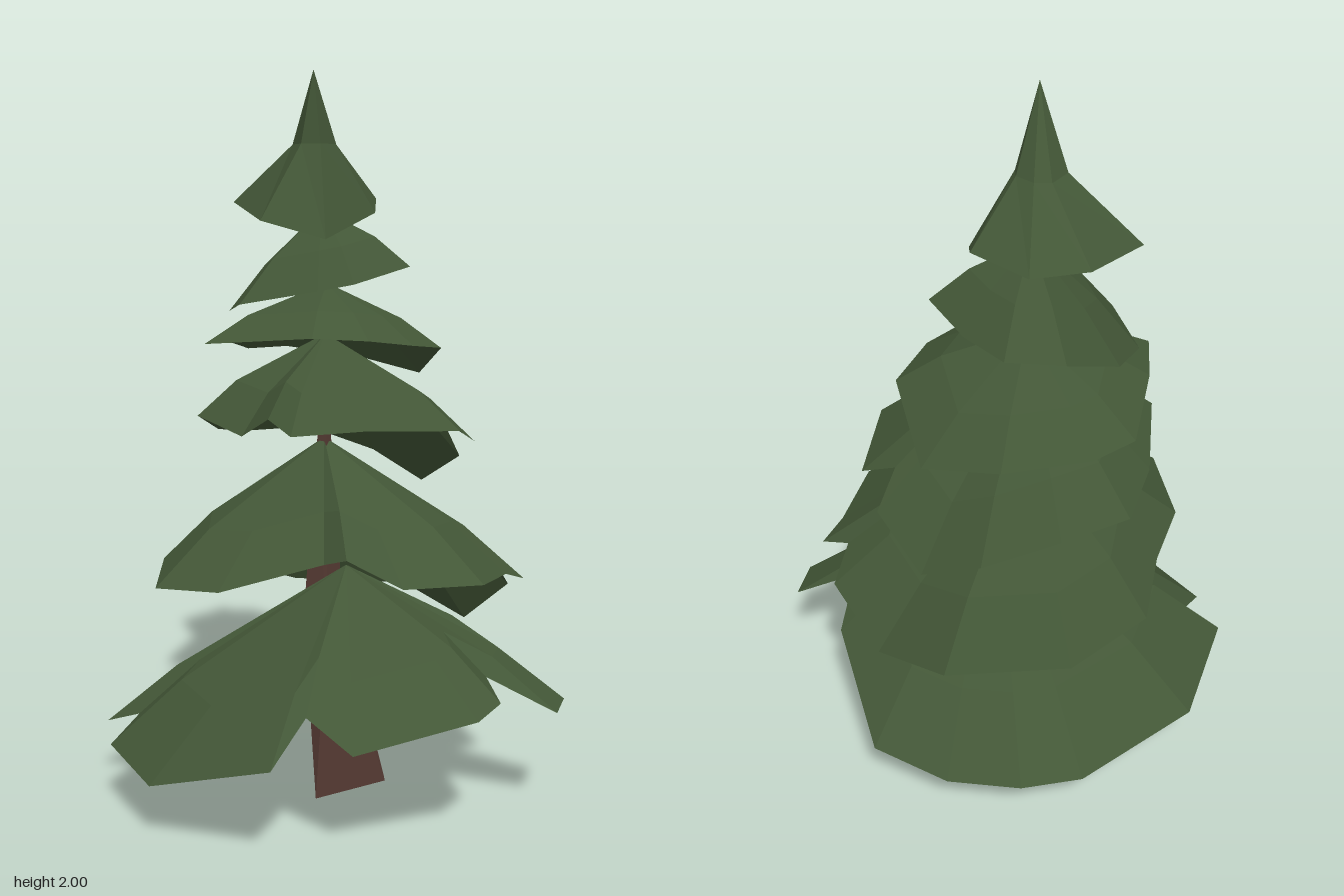
import * as THREE from 'three';

const green = new THREE.MeshStandardMaterial({ color: 0x435737, flatShading: true, side: THREE.DoubleSide });
green.name = 'needleGreen';
const brown = new THREE.MeshStandardMaterial({ color: 0x553a33, flatShading: true });
brown.name = 'barkBrown';

// Skins neighbouring closed rings (counter-clockwise from above, listed top to bottom).
function skin(rings) {
  const pos = [];
  for (let r = 0; r < rings.length - 1; r++) {
    const a = rings[r], b = rings[r + 1], n = a.length;
    for (let i = 0; i < n; i++) {
      const j = (i + 1) % n;
      pos.push(...a[i], ...b[i], ...b[j], ...a[i], ...b[j], ...a[j]);
    }
  }
  const g = new THREE.BufferGeometry();
  g.setAttribute('position', new THREE.Float32BufferAttribute(pos, 3));
  g.computeVertexNormals();
  return g;
}

// A drooping skirt of branches: apex to a ragged rim through a ring at fraction t, lifted by bulge.
function tier(name, apex, rim, t = 0.7, bulge = 0.03) {
  const mid = rim.map(p => p.map((v, k) => apex[k] + (v - apex[k]) * t + (k === 1 ? bulge : 0)));
  const mesh = new THREE.Mesh(skin([rim.map(() => apex), mid, rim]), green);
  mesh.name = name;
  return mesh;
}

export function createModel() {
  const tree = new THREE.Group();
  tree.name = 'pineTree';

  // Leaning trunk: four-sided above, running out to a three-cornered foot
  const trunk = new THREE.Mesh(skin([
    [[-0.03, 1.25, -0.2], [-0.03, 1.25, -0.2], [-0.03, 1.25, -0.2], [-0.03, 1.25, -0.2]],
    [[-0.02, 0.9, -0.1], [-0.005, 0.9, -0.14], [-0.03, 0.9, -0.17], [-0.055, 0.9, -0.13]],
    [[-0.01, 0.5, 0.06], [0.03, 0.5, -0.04], [-0.03, 0.5, -0.1], [-0.08, 0.5, -0.01]],
    [[-0.04, 0, 0.1], [0.15, 0, -0.04], [0.06, 0, -0.15], [-0.04, 0, 0.1]],
    [[0.05, 0, -0.03], [0.05, 0, -0.03], [0.05, 0, -0.03], [0.05, 0, -0.03]]
  ]), brown);
  trunk.name = 'trunk';
  tree.add(trunk);

  // Branch skirts, rim points run front -> +x -> back -> -x
  tree.add(
    tier('bottomBranches', [0.04, 0.65, 0.02], [
      [-0.04, 0.37, 0.475], [0.08, 0.3, 0.55], [0.39, 0.36, 0.455], [0.45, 0.38, 0.37],
      [0.42, 0.4, 0.22], [0.61, 0.3, 0.21], [0.64, 0.3, 0.09], [0.46, 0.41, 0.03],
      [0.5, 0.31, -0.1], [0.4, 0.165, -0.435], [0.2, 0.14, -0.545], [0, 0.15, -0.59],
      [-0.17, 0.15, -0.565], [-0.5, 0.16, -0.335], [-0.64, 0.18, 0], [-0.54, 0.22, 0.05],
      [-0.6, 0.17, 0.16], [-0.45, 0.155, 0.41], [-0.12, 0.27, 0.585]]),
    tier('lowerBranches', [-0.03, 0.98, -0.15], [
      [0, 0.74, 0.385], [0.05, 0.71, 0.22], [0.2, 0.65, 0.28], [0.41, 0.65, 0.22],
      [0.48, 0.63, 0.02], [0.535, 0.6, -0.05], [0.46, 0.63, -0.1], [0.5, 0.55, -0.18],
      [0.38, 0.41, -0.31], [0.2, 0.47, -0.48], [-0.14, 0.48, -0.48], [-0.35, 0.56, -0.38],
      [-0.4, 0.62, -0.2], [-0.475, 0.65, -0.03], [-0.45, 0.64, 0.26], [-0.27, 0.66, 0.37]]),
    tier('middleBranches', [-0.03, 1.27, -0.21], [
      [-0.1, 1.03, 0.17], [0.1, 1.05, 0.19], [0.35, 1.02, -0.02], [0.4, 0.96, -0.22],
      [0.31, 1.01, -0.28], [0.36, 0.9, -0.32], [0.25, 0.8, -0.46], [0.1, 0.88, -0.54],
      [-0.1, 0.95, -0.54], [-0.28, 0.95, -0.45], [-0.35, 0.98, -0.28], [-0.38, 1.05, -0.07],
      [-0.23, 1.03, 0.165], [-0.17, 1.06, 0.06]]),
    tier('upperBranches', [-0.03, 1.41, -0.28], [
      [-0.05, 1.28, 0.07], [0.1, 1.27, 0.03], [0.22, 1.25, -0.06], [0.3, 1.23, -0.21],
      [0.24, 1.13, -0.46], [0.05, 1.17, -0.55], [-0.17, 1.2, -0.55], [-0.28, 1.2, -0.47],
      [-0.34, 1.25, -0.25], [-0.36, 1.25, -0.08]], 0.65, 0.02),
    tier('highBranches', [-0.04, 1.62, -0.22], [
      [-0.04, 1.4, -0.02], [0.06, 1.42, -0.01], [0.21, 1.46, -0.21], [0.13, 1.45, -0.38],
      [0.04, 1.46, -0.52], [-0.1, 1.47, -0.56], [-0.24, 1.38, -0.42], [-0.31, 1.33, -0.25],
      [-0.26, 1.36, -0.08]], 0.6, 0.02)
  );

  // Crown: narrow spire flaring into a short skirt
  const crownRim = [
    [-0.02, 1.54, -0.05], [0.11, 1.61, -0.23], [0.11, 1.65, -0.34], [-0.02, 1.64, -0.46],
    [-0.16, 1.66, -0.47], [-0.3, 1.64, -0.3], [-0.2, 1.59, -0.07]];
  const tip = [-0.06, 2, -0.17];
  const neck = crownRim.map(([x, y, z]) => [-0.055 + (x + 0.07) * 0.3, 1.8, -0.225 + (z + 0.26) * 0.34]);
  const crown = new THREE.Mesh(skin([crownRim.map(() => tip), neck, crownRim]), green);
  crown.name = 'crown';
  tree.add(crown);
  return tree;
}
